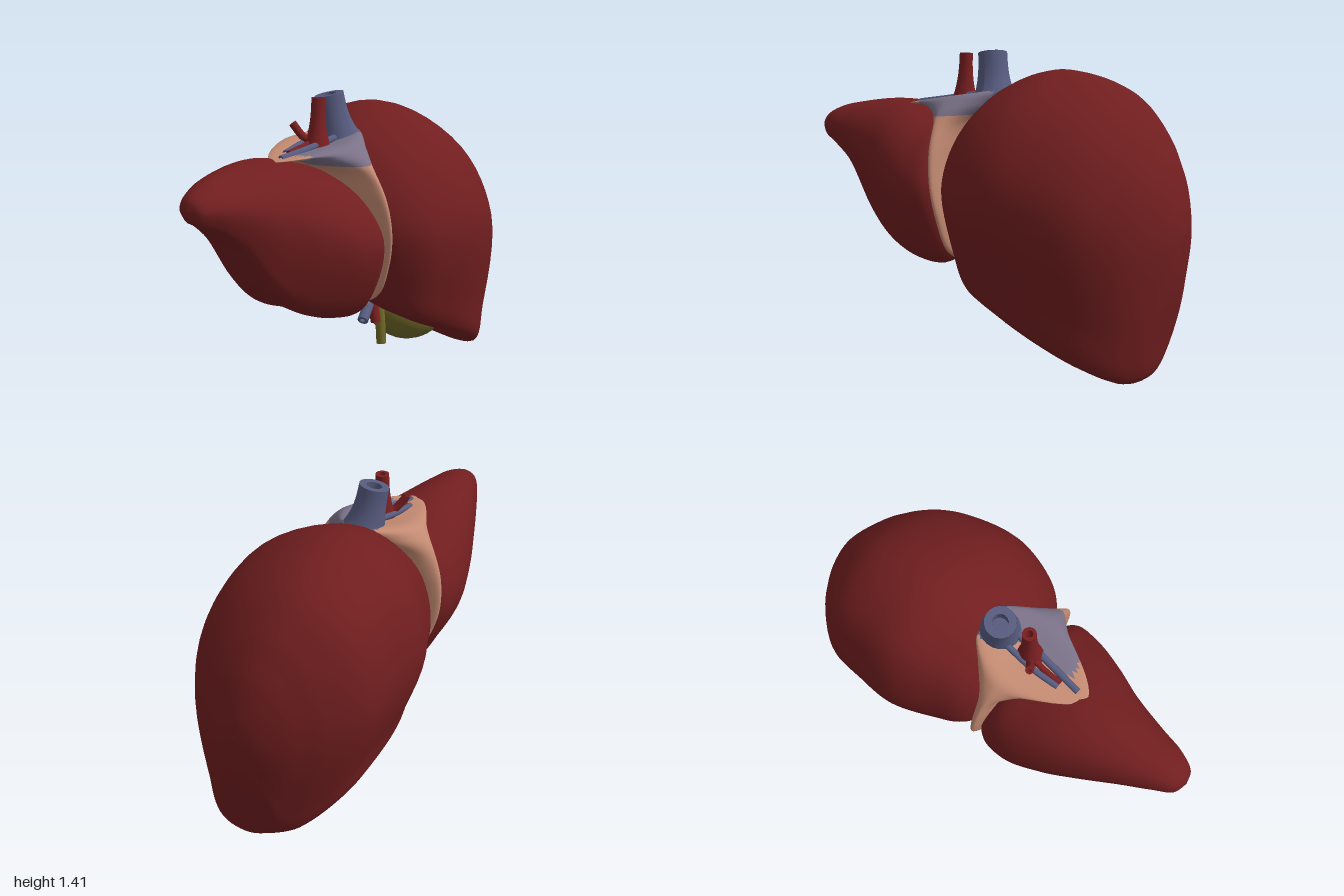
import * as THREE from 'three';

const mat = (name, color, side = THREE.FrontSide) => {
  const m = new THREE.MeshStandardMaterial({ color, side });
  m.name = name;
  return m;
};
const V = (x, y, z) => new THREE.Vector3(x, y, z);

// Skin a list of equal-length closed rings, smoothing across the rings.
// pick(centroid) chooses the material group of each face.
function loft(rings, steps, pick = () => 0) {
  const n = rings[0].length, pos = [], lists = [[], [], []];
  const curves = rings[0].map((_, j) => new THREE.CatmullRomCurve3(rings.map(r => r[j])));
  for (let i = 0; i <= steps; i++)
    for (let j = 0; j < n; j++) pos.push(...curves[j].getPoint(i / steps).toArray());
  const at = k => V(pos[3 * k], pos[3 * k + 1], pos[3 * k + 2]);
  for (let i = 0; i < steps; i++)
    for (let j = 0; j < n; j++) {
      const a = i * n + j, c = i * n + (j + 1) % n, b = a + n, d = c + n;
      const mid = at(a).add(at(d)).multiplyScalar(0.5);
      lists[pick(mid)].push(a, c, b, b, c, d);
    }
  const g = new THREE.BufferGeometry();
  g.setAttribute('position', new THREE.Float32BufferAttribute(pos, 3));
  g.setIndex(lists.flat());
  let start = 0;
  lists.forEach((l, k) => { g.addGroup(start, l.length, k); start += l.length; });
  g.computeVertexNormals();
  return g;
}

// Lobe cross-section at one x: rounded dome above, two lower edges and an underside.
// Sections near the gap between the lobes lean with it.
function lobeRing([x, yTop, zF, zB, yMid, yE, zE, yU, yK, zK]) {
  const zT = (zF + zB) / 2 - 0.2 * zF, lean = 0.1 * Math.max(0, 1 - Math.abs(x + 0.08) / 0.25);
  const pts = [
    [yTop, zT],
    [yMid + 0.67 * (yTop - yMid), zT + 0.67 * (zF - zT)],
    [yMid, zF],
    [yE + 0.3 * (yMid - yE), zE + 0.6 * (zF - zE)],
    [yE, zE],
    [yU, (zE + zK) / 2],
    [yK, zK],
    [yK + 0.3 * (yMid - yK), zK + 0.42 * (zB - zK)],
    [yMid, zB],
    [yMid + 0.72 * (yTop - yMid), zT + 0.72 * (zB - zT)],
  ].map(([y, z]) => V(x + lean * (0.8 - y), y, z));
  return new THREE.CatmullRomCurve3(pts, true).getPoints(60).slice(0, 60);
}
const pole = (p, n) => Array.from({ length: n }, () => p.clone());

// Columns: x, top y, front z, back z, widest y, front edge y z, underside y, back edge y z
const BIG = [
  [-0.06, 1.04, 0.28, -0.31, 0.79, 0.56, 0.18, 0.55, 0.57, -0.21],
  [0.0, 1.14, 0.37, -0.375, 0.8, 0.42, 0.25, 0.46, 0.46, -0.25],
  [0.1, 1.24, 0.445, -0.42, 0.8, 0.35, 0.33, 0.43, 0.43, -0.3],
  [0.3, 1.32, 0.495, -0.5, 0.83, 0.26, 0.37, 0.38, 0.39, -0.36],
  [0.5, 1.3, 0.475, -0.49, 0.81, 0.17, 0.38, 0.32, 0.32, -0.36],
  [0.68, 1.225, 0.42, -0.46, 0.76, 0.085, 0.34, 0.2, 0.24, -0.32],
  [0.82, 1.09, 0.33, -0.36, 0.68, 0.025, 0.25, 0.02, 0.09, -0.17],
  [0.88, 1.0, 0.27, -0.29, 0.65, 0.045, 0.18, 0.02, 0.11, -0.11],
  [0.93, 0.91, 0.2, -0.22, 0.62, 0.22, 0.13, 0.2, 0.25, -0.1],
  [0.98, 0.76, 0.1, -0.11, 0.61, 0.44, 0.06, 0.43, 0.45, -0.05],
];
const SMALL = [
  [-0.98, 1.08, 0.03, -0.09, 1.03, 0.98, 0.01, 0.98, 0.99, -0.06],
  [-0.9, 1.12, 0.075, -0.14, 1.03, 0.94, 0.04, 0.95, 0.95, -0.1],
  [-0.78, 1.145, 0.11, -0.2, 1.01, 0.85, 0.06, 0.86, 0.86, -0.13],
  [-0.6, 1.165, 0.18, -0.28, 0.94, 0.61, 0.1, 0.62, 0.64, -0.16],
  [-0.45, 1.16, 0.26, -0.34, 0.87, 0.495, 0.14, 0.5, 0.51, -0.18],
  [-0.28, 1.12, 0.33, -0.38, 0.8, 0.435, 0.18, 0.445, 0.44, -0.2],
  [-0.15, 1.08, 0.335, -0.36, 0.79, 0.43, 0.18, 0.44, 0.44, -0.19],
  [-0.09, 1.0, 0.26, -0.28, 0.78, 0.52, 0.14, 0.52, 0.52, -0.15],
];

// Ligament sections: y, left x, right x, front z, back z, tilt, pinch
const LIGAMENT = [
  [0.44, -0.075, -0.015, 0.14, -0.14, 0, 0.8],
  [0.5, -0.09, -0.025, 0.25, -0.25, 0, 0.8],
  [0.65, -0.105, -0.035, 0.315, -0.325, 0, 0.8],
  [0.8, -0.125, -0.055, 0.34, -0.37, 0, 0.8],
  [0.95, -0.145, -0.06, 0.32, -0.365, 0, 0.8],
  [1.07, -0.18, -0.03, 0.265, -0.325, 0, 1],
  [1.155, -0.33, 0.08, 0.2, -0.27, 0.08, 1.2],
  [1.2, -0.46, 0.12, 0.13, -0.21, 0.14, 1.2],
];
function ligamentRing([y, xL, xR, zF, zB, tilt, pinch]) {
  const soft = (v, e) => Math.sign(v) * Math.abs(v) ** e, cx = -0.09 + 0.1 * (0.8 - y);
  return Array.from({ length: 64 }, (_, j) => {
    const a = j / 64 * Math.PI * 2, c = soft(Math.cos(a), pinch);
    const s = soft(Math.sin(a), Math.sin(a) < 0 ? pinch * 1.15 : pinch);
    const x = cx + s * (s > 0 ? xR - cx : cx - xL);
    const z = -0.03 + c * (c > 0 ? zF + 0.03 : -0.03 - zB);
    return V(x, y + tilt * (x + 0.1), z);
  });
}
// 0 bare ligament, 1 veiled front, 2 vein wall beside the main vein
function ligamentZone({ x, y, z }) {
  if (y > 1.15 && x > 0.035 && z > -0.12 && z < 0.06) return 2;
  return y > 1.11 && z > -0.02 && x > -0.34 ? 1 : 0;
}

// Hollow vessel along a path; flare widens its start, and its end shows an open bore.
function vessel(name, material, pts, r, flare = 0) {
  const path = new THREE.CatmullRomCurve3(pts.map(p => V(...p)));
  const group = new THREE.Group();
  group.name = name;
  const outer = new THREE.TubeGeometry(path, 24, r, 20), p = outer.attributes.position;
  for (let k = 0; k < p.count; k++) {
    const u = Math.floor(k / 21) / 24, c = path.getPointAt(u);
    const v = V(0, 0, 0).fromBufferAttribute(p, k).sub(c).multiplyScalar(1 + flare * (1 - u) ** 2.5).add(c);
    p.setXYZ(k, v.x, v.y, v.z);
  }
  outer.computeVertexNormals();
  const add = (part, geo) => {
    const m = new THREE.Mesh(geo, material);
    m.name = name + part;
    group.add(m);
    return m;
  };
  const across = (part, geo, u) => {
    const m = add(part, geo);
    m.position.copy(path.getPointAt(u));
    m.quaternion.setFromUnitVectors(V(0, 0, 1), path.getTangentAt(u));
  };
  add('Wall', outer);
  add('Bore', new THREE.TubeGeometry(path, 24, r * 0.52, 16));
  across('Rim', new THREE.RingGeometry(r * 0.52, r, 20), 1);
  across('Floor', new THREE.CircleGeometry(r * 0.52, 16), 0.7);
  return group;
}

export function createModel() {
  const D = THREE.DoubleSide;
  const tissue = mat('liver red', 0x711e1f), peach = mat('ligament peach', 0xc38a72);
  const lilac = mat('veiled lilac', 0x7b7288), blue = mat('vein blue', 0x565b7e, D);
  const red = mat('artery red', 0x7a1f21, D), olive = mat('bile olive', 0x716827, D);
  const model = new THREE.Group();
  model.name = 'liver';
  const add = (name, geo, material) => {
    const m = new THREE.Mesh(geo, material);
    m.name = name;
    model.add(m);
    return m;
  };

  // Lobes
  add('largeLobe', loft([pole(V(-0.08, 0.8, 0), 60), ...BIG.map(lobeRing), pole(V(1, 0.64, 0), 60)], 88), [tissue]);
  add('smallLobe', loft([pole(V(-1, 1.035, -0.03), 60), ...SMALL.map(lobeRing), pole(V(-0.075, 0.78, 0), 60)], 72), [tissue]);

  // Ligament band flaring into the hollowed bare patch on top, veiled at the front
  add('ligament', loft([pole(V(-0.045, 0.43, 0), 64), ...LIGAMENT.map(ligamentRing), pole(V(-0.1, 1.18, -0.03), 64)], 81,
    ligamentZone), [peach, lilac, blue]);

  // Vessels on top
  model.add(
    vessel('mainVein', blue, [[0.03, 1.14, -0.02], [0.005, 1.26, -0.045], [-0.015, 1.395, -0.065]], 0.068, 0.8),
    vessel('mainArtery', red, [[-0.15, 1.16, -0.03], [-0.145, 1.28, -0.03], [-0.14, 1.393, -0.03]], 0.031, 1.1),
    vessel('arteryBranch', red, [[-0.15, 1.18, -0.04], [-0.19, 1.22, -0.08], [-0.215, 1.28, -0.12]], 0.018),
    vessel('arteryTwig', red, [[-0.15, 1.2, -0.04], [-0.24, 1.18, -0.05], [-0.33, 1.165, -0.05]], 0.014),
    vessel('upperVeinTwig', blue, [[-0.02, 1.22, -0.07], [-0.2, 1.19, -0.08], [-0.33, 1.165, -0.07]], 0.014),
    vessel('lowerVeinTwig', blue, [[-0.05, 1.205, 0], [-0.22, 1.18, -0.01], [-0.41, 1.155, -0.03]], 0.016));

  // Vessels below
  model.add(
    vessel('lowerVein', blue, [[0.16, 0.42, 0.06], [0.1, 0.37, 0.08], [0.03, 0.32, 0.1]], 0.026),
    vessel('lowerVeinBranch', lilac, [[0.1, 0.385, 0.07], [0.03, 0.43, 0.02], [-0.04, 0.46, -0.07]], 0.033),
    vessel('lowerArtery', red, [[0.17, 0.44, 0.06], [0.15, 0.36, 0.08], [0.14, 0.28, 0.1]], 0.024),
    vessel('bileDuct', olive, [[0.2, 0.44, 0.07], [0.19, 0.3, 0.09], [0.19, 0.16, 0.1]], 0.024),
    vessel('gallbladderDuct', olive, [[0.34, 0.34, -0.06], [0.26, 0.34, -0.01], [0.19, 0.28, 0.09]], 0.018));

  // Gallbladder: a pear lying in the hollow underside
  const profile = new THREE.SplineCurve([[0.001, -0.2], [0.1, -0.16], [0.158, -0.03], [0.152, 0.1],
    [0.1, 0.21], [0.04, 0.29], [0.001, 0.32]].map(q => new THREE.Vector2(...q))).getPoints(28);
  const bladder = add('gallbladder', new THREE.LatheGeometry(profile, 36), olive);
  bladder.position.set(0.57, 0.22, 0);
  bladder.quaternion.setFromUnitVectors(V(0, 1, 0), V(-0.29, 0.13, -0.09).normalize());
  return model;
}
